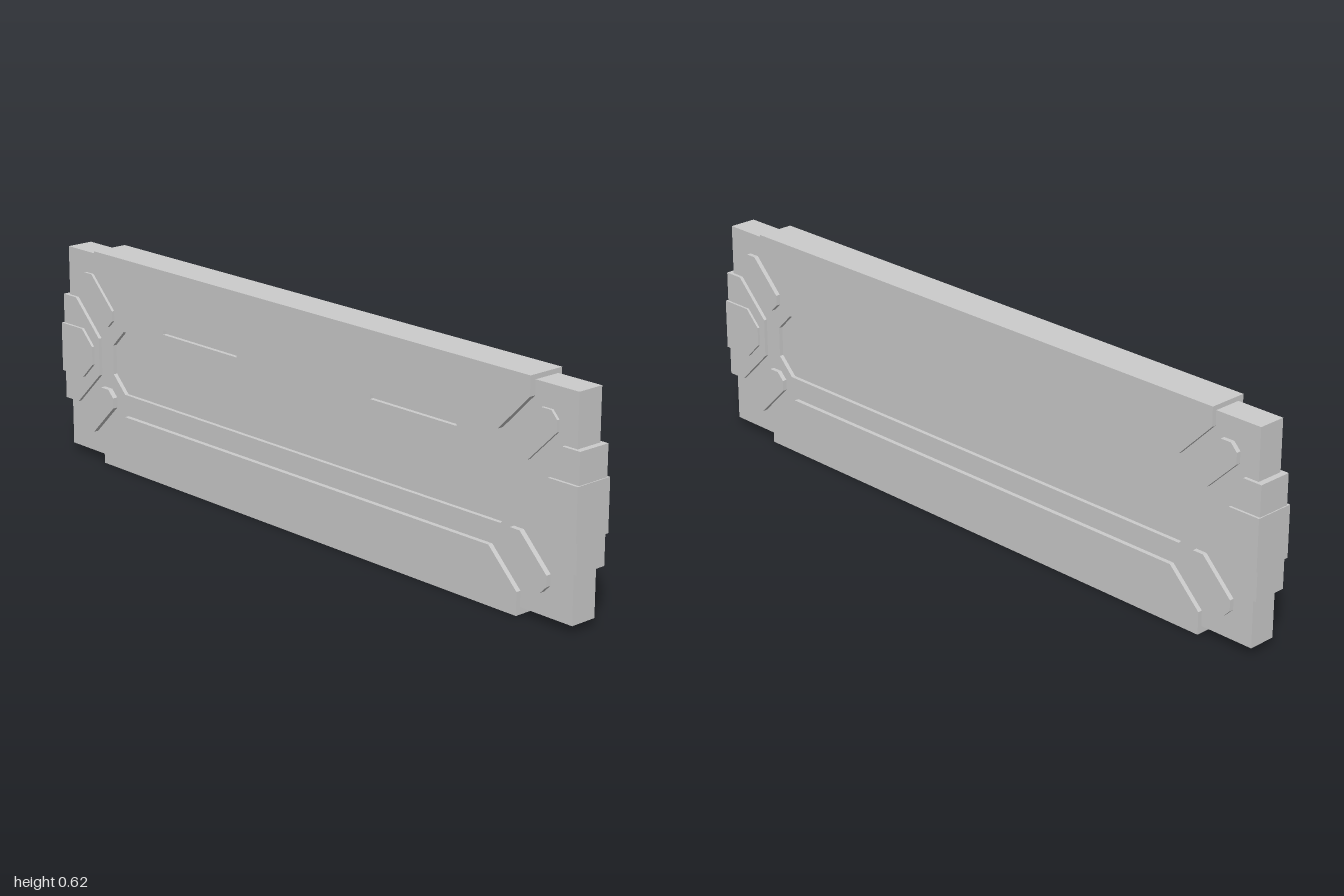
import * as THREE from 'three';

const material = new THREE.MeshStandardMaterial({ color: 0xcccccc, flatShading: true });
const toVectors = (pts) => pts.map(([x, y]) => new THREE.Vector2(x, y));
const mirror = (pts) => pts.map(([x, y]) => [-x, y]);
const shift = (pts, dx) => pts.map(([x, y]) => [x + dx, y]);
const rect = (x0, y0, x1, y1) => [[x0, y0], [x1, y0], [x1, y1], [x0, y1]];

// Flat slab with a polygon outline, optional cut-outs, between two depths
function slab(name, outline, z0, z1, holes = []) {
  const shape = new THREE.Shape(toVectors(outline));
  for (const hole of holes) shape.holes.push(new THREE.Path(toVectors(hole)));
  const geometry = new THREE.ExtrudeGeometry(shape, { depth: z1 - z0, bevelEnabled: false });
  geometry.translate(0, 0, z0);
  const mesh = new THREE.Mesh(geometry, material);
  mesh.name = name;
  return mesh;
}

export function createModel() {
  const group = new THREE.Group();
  group.name = 'armouredPanel';

  // Core board: a middle layer and two skins with a sunken panel
  const board = rect(-0.98, 0.02, 0.98, 0.61);
  const panel = [
    [-0.735, 0.22], [0.735, 0.22], [0.785, 0.27], [0.785, 0.355],
    [0.735, 0.405], [-0.735, 0.405], [-0.785, 0.355], [-0.785, 0.27],
  ];
  const slots = [rect(-0.56, 0.433, -0.25, 0.446), rect(0.27, 0.433, 0.58, 0.446)];
  group.add(
    slab('coreBoard', board, -0.028, 0.028),
    slab('frontSkin', board, 0.028, 0.04, [panel, ...slots]),
    slab('backSkin', board, -0.04, -0.028, [panel]),
  );

  // Long rails with angled ends along the top and bottom
  const topRail = [
    [-0.84, 0.623], [-0.84, 0.57], [-0.737, 0.467],
    [0.737, 0.467], [0.84, 0.57], [0.84, 0.623],
  ];
  const bottomRail = [
    [-0.813, 0], [-0.813, 0.063], [-0.715, 0.16],
    [0.715, 0.16], [0.813, 0.063], [0.813, 0],
  ];
  group.add(
    slab('topRail', topRail, -0.053, 0.058),
    slab('bottomRail', shift(bottomRail, -0.005), -0.053, 0.054),
  );

  // Outlines of the end parts, for the +x side
  const endPlate = [
    [0.997, 0.157], [0.94, 0.157], [0.838, 0.257],
    [0.838, 0.366], [0.94, 0.468], [0.997, 0.468],
  ];
  const endCap = [
    [1, 0.24], [0.905, 0.24], [0.86, 0.285],
    [0.86, 0.338], [0.905, 0.383], [1, 0.383],
  ];
  const upperLug = [
    [0.92, 0.528], [0.9, 0.549], [0.868, 0.549], [0.777, 0.458],
    [0.777, 0.429], [0.798, 0.408], [0.829, 0.408], [0.92, 0.497],
  ];
  const lowerLug = [
    [0.912, 0.133], [0.912, 0.103], [0.892, 0.083], [0.858, 0.083],
    [0.766, 0.174], [0.766, 0.204], [0.787, 0.225], [0.82, 0.225],
  ];

  // Stepped end plates and slanted lugs on both ends
  for (const [side, place] of [['left', (p) => p], ['right', mirror]]) {
    group.add(
      slab(side + 'EndPlate', place(endPlate), -0.05, 0.05),
      slab(side + 'EndCap', place(endCap), -0.057, 0.058),
      slab(side + 'UpperLug', place(upperLug), -0.053, 0.048),
      slab(side + 'LowerLug', shift(place(lowerLug), -0.006), -0.053, 0.055),
    );
  }
  return group;
}
